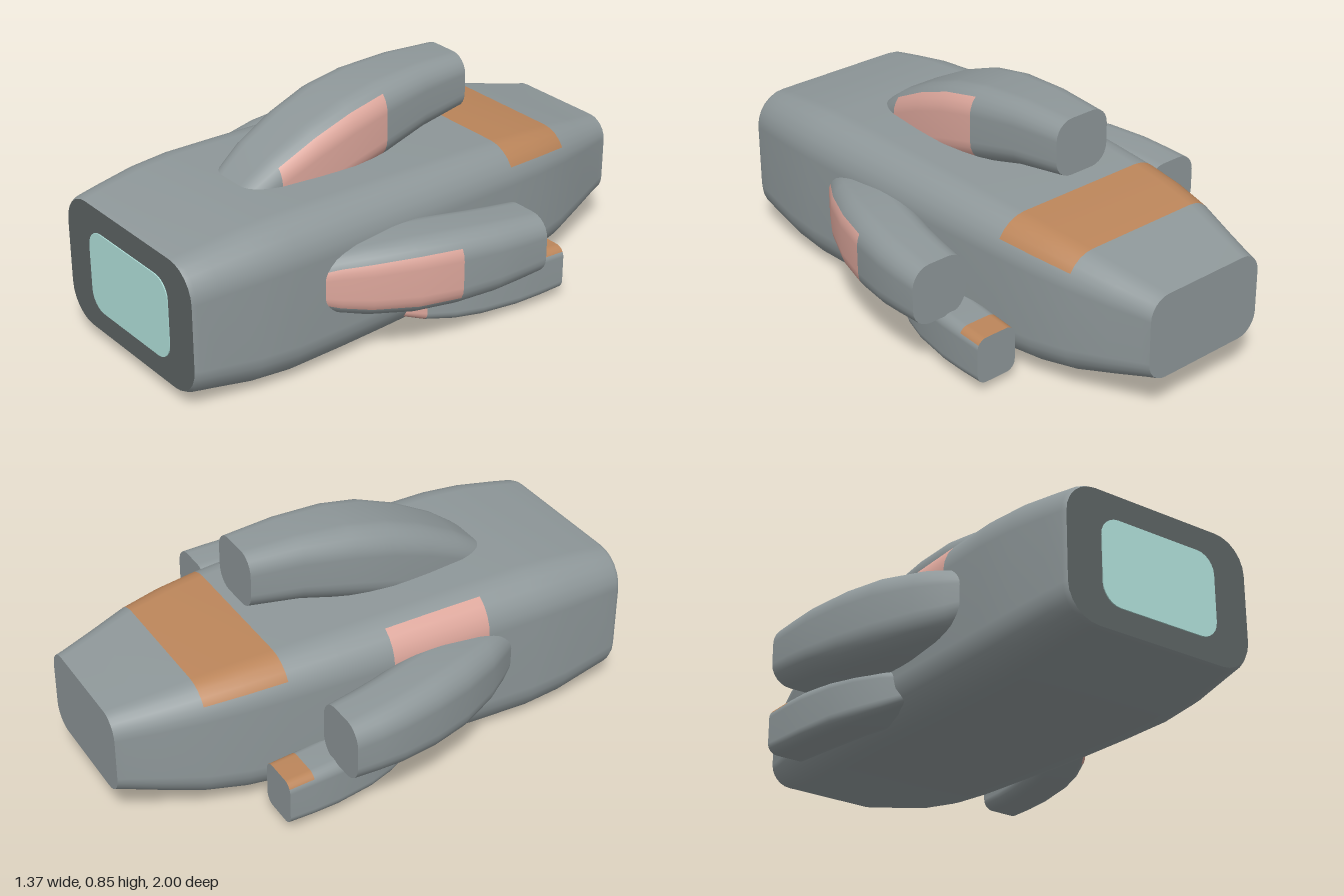
import * as THREE from 'three';

const mat = (name, color) => {
  const m = new THREE.MeshStandardMaterial({ color });
  m.name = name;
  return m;
};

const N = 6; // segments per rounded corner
const SEGS = 4 * (N + 1);

// Rounded rectangle, counter-clockwise from the +x side.
// Segments: 0-5 upper +x corner, 6 top, 7-12 upper -x corner, 13 -x side,
// 14-19 lower -x corner, 20 bottom, 21-26 lower +x corner, 27 +x side.
function ring(cx, cy, hw, hh, round) {
  const r = Math.min(hw, hh) * round, pts = [];
  for (let k = 0; k < 4; k++) {
    const sx = k === 0 || k === 3 ? 1 : -1, sy = k < 2 ? 1 : -1;
    for (let j = 0; j <= N; j++) {
      const a = (k + j / N) * Math.PI / 2;
      pts.push([cx + sx * (hw - r) + r * Math.cos(a), cy + sy * (hh - r) + r * Math.sin(a)]);
    }
  }
  return pts;
}

// Skin over stations [z, cx, cy, hw, hh] from front to back, with flat caps.
// Each patch { mat, segs, z: [min, max] } recolours the panels it covers.
function loft(name, stations, round, skin, patches = [], frontMat = skin) {
  const mats = [skin, frontMat, ...patches.map(p => p.mat)];
  const lists = mats.map(() => []);
  const pos = [];
  for (const [z, cx, cy, hw, hh] of stations)
    for (const [x, y] of ring(cx, cy, hw, hh, round)) pos.push(x, y, z);
  for (let i = 0; i < stations.length - 1; i++) {
    const zm = (stations[i][0] + stations[i + 1][0]) / 2;
    for (let j = 0; j < SEGS; j++) {
      const p = patches.findIndex(q => q.segs.includes(j) && zm > q.z[0] && zm < q.z[1]);
      const a = i * SEGS + j, b = i * SEGS + (j + 1) % SEGS, c = a + SEGS, d = b + SEGS;
      lists[p < 0 ? 0 : p + 2].push(a, c, b, b, c, d);
    }
  }
  // end caps with their own vertices, so the rim stays sharp
  for (const front of [true, false]) {
    const [z, cx, cy, hw, hh] = stations[front ? 0 : stations.length - 1];
    const base = pos.length / 3;
    pos.push(cx, cy, z);
    for (const [x, y] of ring(cx, cy, hw, hh, round)) pos.push(x, y, z);
    for (let j = 0; j < SEGS; j++) {
      const a = base + 1 + j, b = base + 1 + (j + 1) % SEGS;
      lists[front ? 1 : 0].push(base, front ? a : b, front ? b : a);
    }
  }
  const geo = new THREE.BufferGeometry();
  geo.setAttribute('position', new THREE.Float32BufferAttribute(pos, 3));
  geo.setIndex(lists.flat());
  let start = 0;
  lists.forEach((l, i) => {
    if (l.length) geo.addGroup(start, l.length, i);
    start += l.length;
  });
  geo.computeVertexNormals();
  const mesh = new THREE.Mesh(geo, mats);
  mesh.name = name;
  return mesh;
}

const span = (a, b) => Array.from({ length: b - a + 1 }, (_, i) => a + i);

export function createModel() {
  const hullGrey = mat('hullGrey', 0x8e9799);
  const darkGrey = mat('darkGrey', 0x5c6363);
  const teal = mat('paleTeal', 0xb0e0da);
  const pink = mat('dustyPink', 0xdca69b);
  const orange = mat('copperOrange', 0xbb855a);
  const model = new THREE.Group();
  model.name = 'spacecraft';

  // main hull: z, half width, bottom, top
  const hull = [
    [0.996, 0.385, 0.06, 0.553], [0.98, 0.393, 0.052, 0.56], [0.9, 0.405, 0.04, 0.572],
    [0.75, 0.426, 0.015, 0.592], [0.6, 0.435, 0.003, 0.601], [0.39, 0.433, 0.006, 0.598],
    [0.2, 0.43, 0.012, 0.594], [0, 0.425, 0.02, 0.587], [-0.2, 0.415, 0.03, 0.578],
    [-0.4, 0.4, 0.037, 0.566], [-0.55, 0.382, 0.047, 0.552], [-0.7, 0.352, 0.07, 0.53],
    [-0.85, 0.305, 0.108, 0.496], [-0.97, 0.267, 0.14, 0.472], [-1, 0.26, 0.148, 0.466],
  ].map(([z, w, b, t]) => [z, 0, (b + t) / 2, w, (t - b) / 2]);
  model.add(loft('hull', hull, 0.5, hullGrey, [
    { mat: orange, segs: span(2, 10), z: [-0.7, -0.4] },
    { mat: pink, segs: span(9, 12), z: [0, 0.39] },
  ], darkGrey));

  // front window plate
  model.add(loft('frontWindow', [
    [1, 0, 0.303, 0.243, 0.158], [0.995, 0, 0.303, 0.243, 0.158],
  ], 0.45, teal));

  // dorsal pod: z, centre y, half width, half height
  const dorsal = [
    [0.62, 0.465, 0.11, 0.09], [0.54, 0.51, 0.128, 0.112], [0.45, 0.555, 0.148, 0.13],
    [0.3, 0.617, 0.163, 0.145], [0.15, 0.667, 0.17, 0.15], [0, 0.7, 0.163, 0.145],
    [-0.2, 0.73, 0.142, 0.125], [-0.4, 0.738, 0.12, 0.108],
  ].map(([z, y, w, h]) => [z, 0, y, w, h]);
  model.add(loft('dorsalPod', dorsal, 0.65, hullGrey, [
    { mat: pink, segs: [...span(21, 27), 0, 1, 2], z: [0, 0.45] },
  ]));

  // paired pods: z, centre x, half width, half height
  const sidePod = [
    [0.52, 0.3, 0.11, 0.08], [0.44, 0.345, 0.124, 0.112], [0.35, 0.395, 0.134, 0.13],
    [0.2, 0.46, 0.14, 0.143], [0.05, 0.507, 0.138, 0.142], [-0.1, 0.543, 0.13, 0.133],
    [-0.2, 0.557, 0.124, 0.124], [-0.3, 0.567, 0.117, 0.115],
  ];
  const lowerPod = [
    [0.16, 0.3, 0.08, 0.045], [0.05, 0.365, 0.09, 0.075], [-0.05, 0.41, 0.093, 0.087],
    [-0.15, 0.443, 0.093, 0.091], [-0.3, 0.47, 0.09, 0.094], [-0.4, 0.48, 0.087, 0.092],
    [-0.5, 0.486, 0.085, 0.088],
  ];
  for (const s of [1, -1]) {
    const side = s > 0 ? 'left' : 'right';
    const place = (rows, y) => rows.map(([z, x, w, h]) => [z, s * x, y, w, h]);
    const sidePatch = { mat: pink, segs: [25, 26, 27, 0, 1], z: [0.05, 0.6] };
    const nosePatch = { mat: pink, segs: [...span(23, 27), 0, 1, 2, 3], z: [0.05, 0.2] };
    const topPatch = { mat: orange, segs: span(2, 10), z: [-0.5, -0.4] };
    model.add(loft(side + 'SidePod', place(sidePod, 0.33), 0.65, hullGrey, s > 0 ? [sidePatch] : []));
    model.add(loft(side + 'LowerPod', place(lowerPod, 0.128), 0.45, hullGrey,
      s > 0 ? [topPatch, nosePatch] : [topPatch]));
  }
  return model;
}
